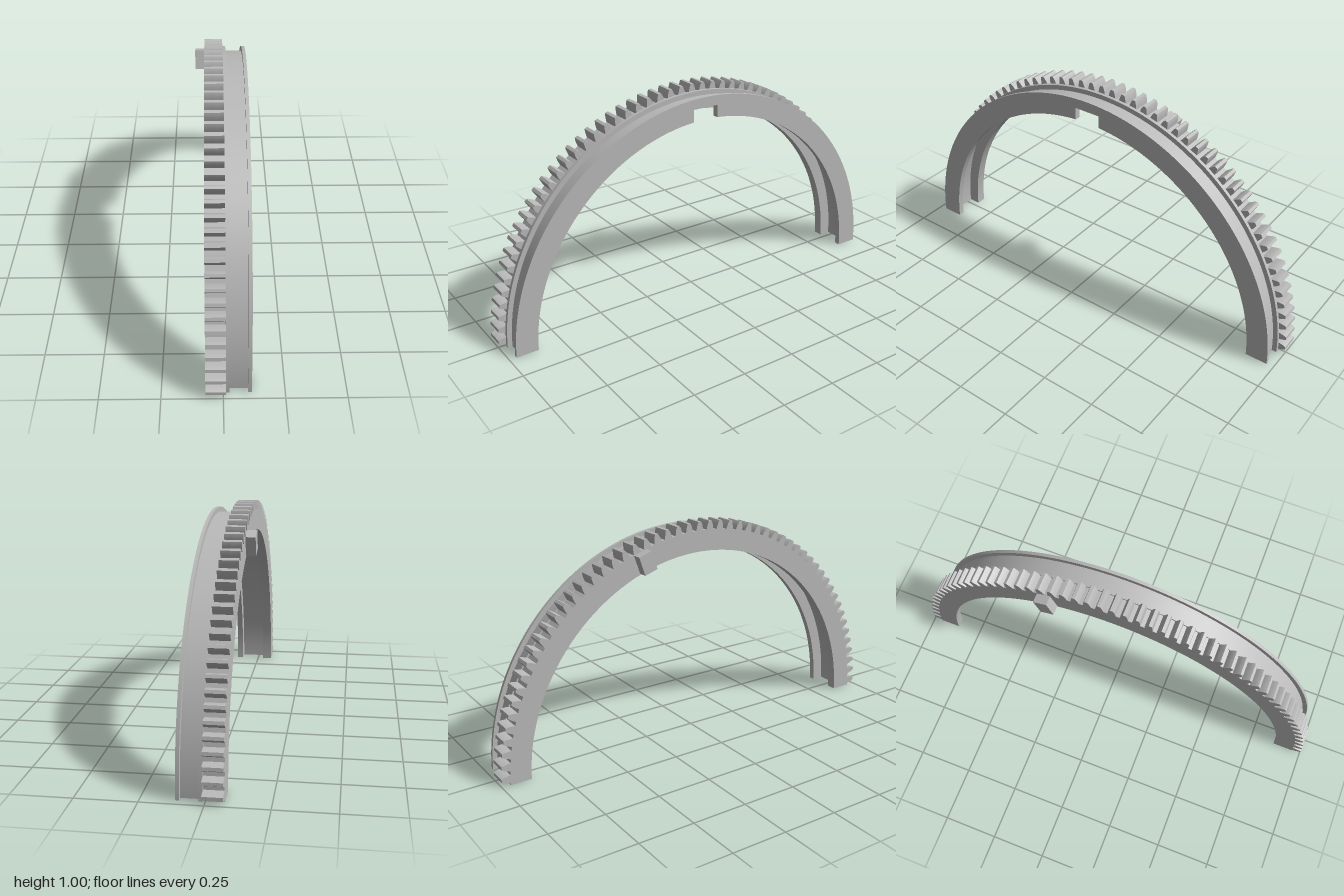
import * as THREE from 'three';
import { toCreasedNormals } from 'three/addons/utils/BufferGeometryUtils.js';

const TEETH = 55;
const INNER = 0.865, FLOOR = 0.92, GROOVE = 0.945, FLANGE = 0.967, ROOT = 0.96;
const NOTCH = 0.0625; // half width of the notch

const polar = (r, a) => new THREE.Vector2(r * Math.cos(a), r * Math.sin(a));

function arc(r, from, to, steps = 120) {
  const pts = [];
  for (let i = 0; i <= steps; i++) pts.push(polar(r, from + (to - from) * i / steps));
  return pts;
}

// Toothed half circle: each tooth is given by radius and half width
function toothedArc() {
  const flank = [[ROOT, 0.0185], [0.971, 0.0165], [0.9823, 0.014], [0.992, 0.0108], [1, 0.007]];
  const pitch = Math.PI / TEETH;
  const pts = [polar(ROOT, 0)];
  for (let i = 0; i < TEETH; i++) {
    const c = (i + 0.5) * pitch;
    flank.forEach(([r, w]) => pts.push(polar(r, c - w / r)));
    [...flank].reverse().forEach(([r, w]) => pts.push(polar(r, c + w / r)));
  }
  pts.push(polar(ROOT, Math.PI));
  return pts;
}

// Inner edge of the outer wall, with a square notch at the crown
function notchedArc() {
  const a = Math.acos(NOTCH / INNER);
  return [
    ...arc(INNER, Math.PI, Math.PI - a, 60),
    new THREE.Vector2(-NOTCH, FLOOR), new THREE.Vector2(NOTCH, FLOOR),
    ...arc(INNER, a, 0, 60),
  ];
}

export function createModel() {
  const model = new THREE.Group();
  model.name = 'halfRingGear';
  const grey = new THREE.MeshStandardMaterial({ color: 0xbbbbbb });
  grey.name = 'grey';

  // Extrudes a half ring outline between two x positions
  function halfRing(name, outer, inner, x0, x1) {
    const shape = new THREE.Shape([...outer, ...inner]);
    let geo = new THREE.ExtrudeGeometry(shape, { depth: x1 - x0, bevelEnabled: false });
    geo.rotateY(Math.PI / 2).translate(x0, 0, 0);
    geo = toCreasedNormals(geo, 0.25);
    const mesh = new THREE.Mesh(geo, grey);
    mesh.name = name;
    model.add(mesh);
  }

  const outerArc = r => arc(r, 0, Math.PI);
  const innerArc = r => arc(r, Math.PI, 0);

  // Gear with its inward wall
  halfRing('gearWall', toothedArc(), innerArc(INNER), -0.072, -0.027);
  halfRing('gearRim', toothedArc(), innerArc(FLOOR), -0.027, 0.01);

  // Grooved track beside the gear
  halfRing('innerFlange', outerArc(FLANGE), innerArc(FLOOR), 0.01, 0.025);
  halfRing('grooveBand', outerArc(GROOVE), innerArc(FLOOR), 0.025, 0.087);

  // Notched outer wall and its flange
  halfRing('outerWall', outerArc(GROOVE), notchedArc(), 0.087, 0.1);
  halfRing('outerFlange', outerArc(FLANGE), notchedArc(), 0.1, 0.115);

  // Small tab on the gear face, tilted to follow the ring
  const tilt = THREE.MathUtils.degToRad(18.8);
  const tab = new THREE.Mesh(new THREE.BoxGeometry(0.053, 0.088, 0.065), grey);
  tab.name = 'tab';
  tab.position.set(-0.0885, 0.914 * Math.cos(tilt), -0.914 * Math.sin(tilt));
  tab.rotation.x = -tilt;
  model.add(tab);

  return model;
}
